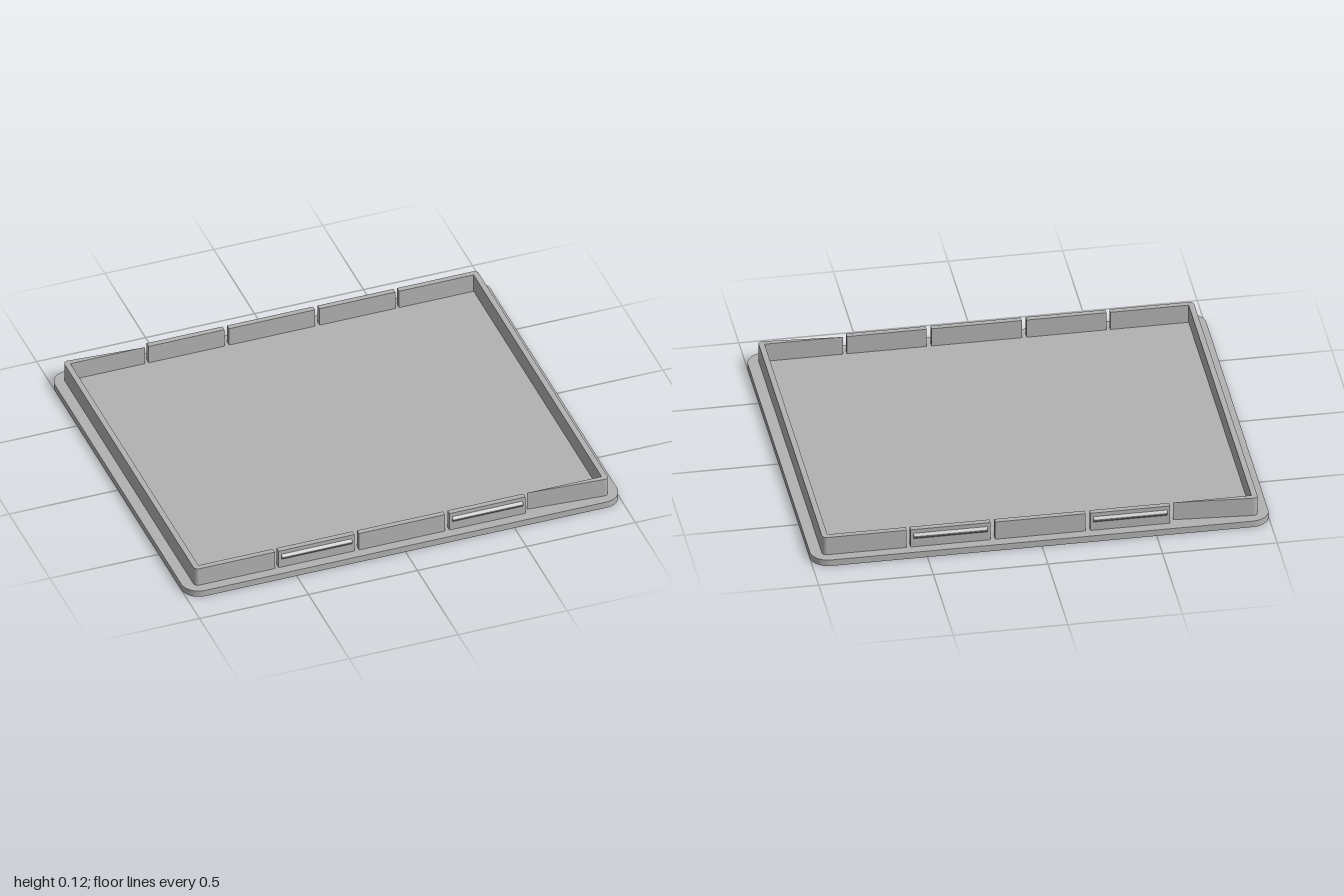
import * as THREE from 'three';

const BASE_TOP = 0.03, WALL_TOP = 0.117;
const WALL_X = 0.95, WALL_Z = 0.81, THICK = 0.025;

// Rounded rectangle centred on the origin
function roundedRect(hx, hy, r) {
  const s = new THREE.Shape();
  s.absarc(hx - r, hy - r, r, 0, Math.PI / 2);
  s.absarc(-hx + r, hy - r, r, Math.PI / 2, Math.PI);
  s.absarc(-hx + r, -hy + r, r, Math.PI, Math.PI * 1.5);
  s.absarc(hx - r, -hy + r, r, Math.PI * 1.5, Math.PI * 2);
  s.closePath();
  return s;
}

// Plan outline raised from y0 to y1
function raise(shape, y0, y1) {
  const g = new THREE.ExtrudeGeometry(shape, { depth: y1 - y0, bevelEnabled: false, curveSegments: 10 });
  g.rotateX(-Math.PI / 2);
  g.translate(0, y0, 0);
  return g;
}

export function createModel() {
  const model = new THREE.Group();
  const grey = new THREE.MeshStandardMaterial({ color: 0xb2b2b2 });
  grey.name = 'grey plastic';
  const add = (name, geometry) => {
    const mesh = new THREE.Mesh(geometry, grey);
    mesh.name = name;
    model.add(mesh);
    return mesh;
  };

  // Flat base with rounded corners
  add('basePlate', raise(roundedRect(1, 0.855, 0.08), 0, BASE_TOP));

  // C-shaped end wall, wrapping round both corners
  const gapEnd = 0.583, r = 0.02;
  const end = new THREE.Shape();
  end.moveTo(gapEnd, -WALL_Z);
  end.absarc(WALL_X - r, -WALL_Z + r, r, -Math.PI / 2, 0);
  end.absarc(WALL_X - r, WALL_Z - r, r, 0, Math.PI / 2);
  end.lineTo(gapEnd, WALL_Z);
  end.lineTo(gapEnd, WALL_Z - THICK);
  end.lineTo(WALL_X - THICK, WALL_Z - THICK);
  end.lineTo(WALL_X - THICK, -WALL_Z + THICK);
  end.lineTo(gapEnd, -WALL_Z + THICK);
  end.closePath();
  const endGeometry = raise(end, BASE_TOP, WALL_TOP);
  add('leftEndWall', endGeometry);
  add('rightEndWall', endGeometry).rotation.y = Math.PI;

  // Snap ridge: triangular section with a narrow flat tip, pointing to +z
  const ridge = new THREE.Shape();
  ridge.moveTo(0, 0.071);
  ridge.lineTo(0.011, 0.082);
  ridge.lineTo(0.011, 0.087);
  ridge.lineTo(0, 0.098);
  ridge.closePath();
  const ridgeGeometry = new THREE.ExtrudeGeometry(ridge, { depth: 0.322, bevelEnabled: false });
  ridgeGeometry.translate(0, 0, -0.161);
  ridgeGeometry.rotateY(-Math.PI / 2);

  // Front and back walls: a centre panel between two snap tabs
  const h = WALL_TOP - BASE_TOP, y = (WALL_TOP + BASE_TOP) / 2;
  for (const [side, sign] of [['front', 1], ['back', -1]]) {
    const z = sign * (WALL_Z - THICK / 2);
    add(side + 'CentrePanel', new THREE.BoxGeometry(0.394, h, THICK)).position.set(0, y, z);
    for (const x of [-0.392, 0.392]) {
      add(side + 'SnapTab', new THREE.BoxGeometry(0.348, h, THICK)).position.set(x, y, z);
      const snap = add(side + 'SnapRidge', ridgeGeometry);
      snap.position.set(x, 0, sign * WALL_Z);
      if (sign < 0) snap.rotation.y = Math.PI;
    }
  }
  return model;
}
